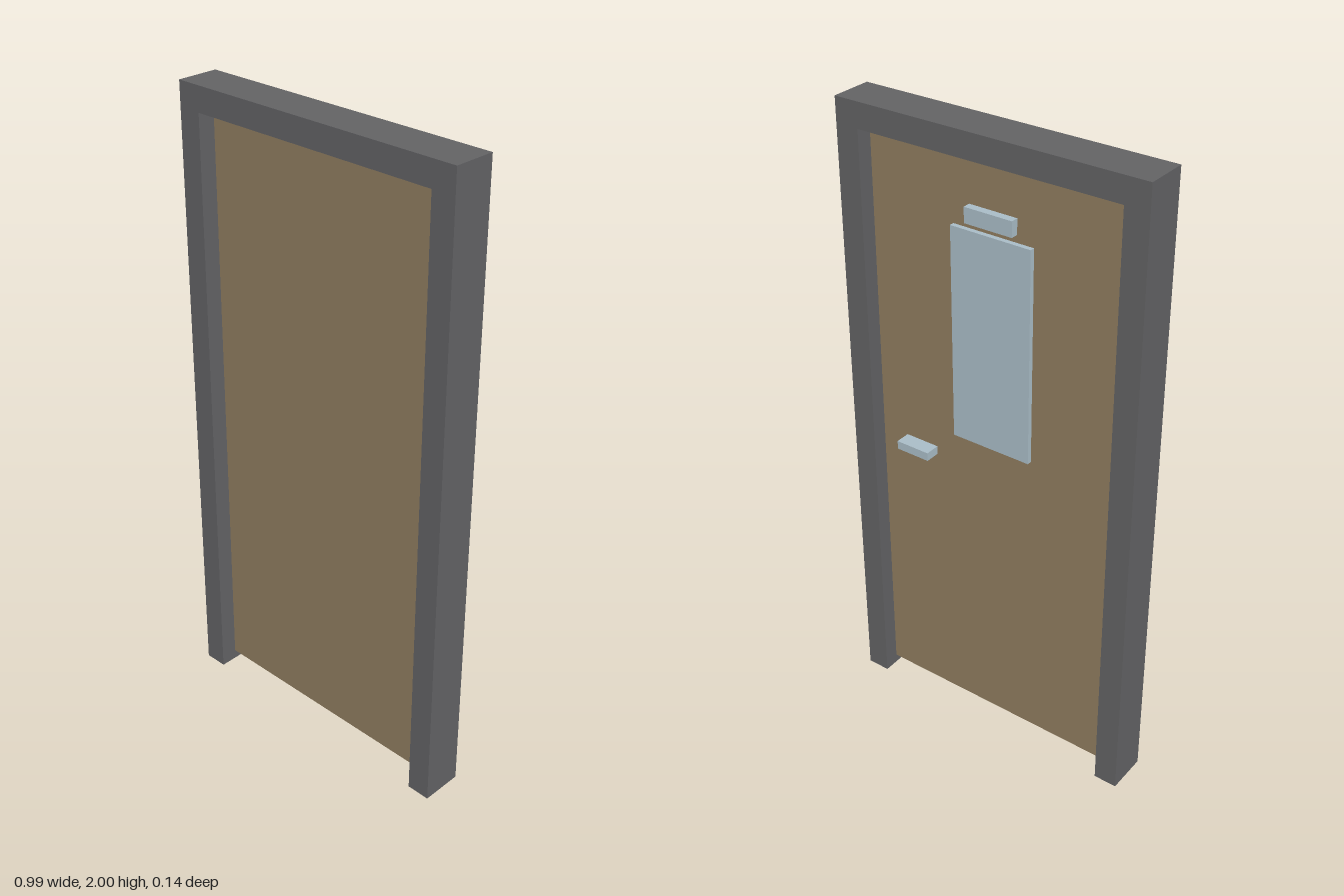
import * as THREE from 'three';

const material = (name, color) => {
  const m = new THREE.MeshStandardMaterial({ color });
  m.name = name;
  return m;
};

export function createModel() {
  const darkGrey = material('darkGrey', 0x626264);
  const tan = material('tan', 0x8f7c5f);
  const paleBlue = material('paleBlue', 0xa9bcc6);

  const model = new THREE.Group();
  model.name = 'door';

  // Box given by its extents along each axis
  const addBox = (name, mat, [x0, x1], [y0, y1], [z0, z1]) => {
    const mesh = new THREE.Mesh(new THREE.BoxGeometry(x1 - x0, y1 - y0, z1 - z0), mat);
    mesh.position.set((x0 + x1) / 2, (y0 + y1) / 2, (z0 + z1) / 2);
    mesh.name = name;
    model.add(mesh);
  };

  // Frame: one three-sided profile, open at the floor
  const outline = [[-0.495, 0], [-0.42, 0], [-0.42, 1.923], [0.42, 1.923],
    [0.42, 0], [0.495, 0], [0.495, 2], [-0.495, 2]];
  const shape = new THREE.Shape(outline.map(([x, y]) => new THREE.Vector2(x, y)));
  const frame = new THREE.Mesh(
    new THREE.ExtrudeGeometry(shape, { depth: 0.133, bevelEnabled: false }), darkGrey);
  frame.position.z = -0.063;
  frame.name = 'frame';
  model.add(frame);

  // Door leaf, with a small gap all round
  const back = -0.022;
  addBox('doorLeaf', tan, [-0.412, 0.412], [0.04, 1.905], [back, 0.022]);

  // Fittings on the back of the leaf
  addBox('windowPanel', paleBlue, [-0.132, 0.132], [1.045, 1.712], [-0.037, back]);
  addBox('signPlate', paleBlue, [-0.078, 0.078], [1.735, 1.782], [-0.046, back]);
  addBox('handle', paleBlue, [0.208, 0.322], [0.94, 0.967], [-0.07, back]);

  return model;
}
